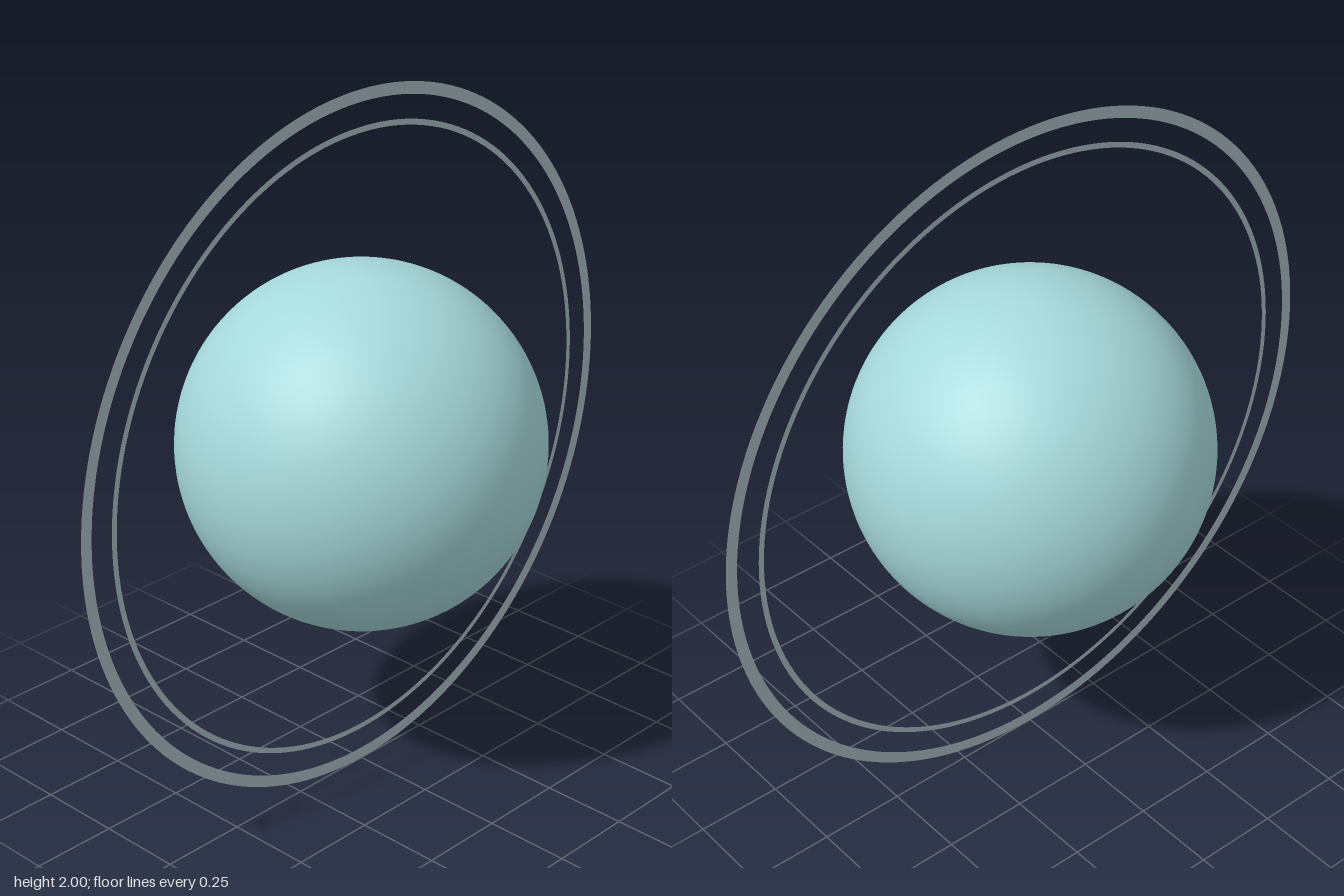
import * as THREE from 'three';

export function createModel() {
  const model = new THREE.Group();
  model.name = 'ringedPlanet';

  const add = (name, geometry, color, side = THREE.FrontSide) => {
    const material = new THREE.MeshStandardMaterial({ color, side });
    const mesh = new THREE.Mesh(geometry, material);
    mesh.name = name;
    mesh.position.y = 1;
    model.add(mesh);
  };

  // Smooth globe
  add('planet', new THREE.SphereGeometry(0.511, 96, 64), 0xa6d8da);

  // Two thin flat rings standing upright, facing front and back
  const rings = [
    ['innerRing', 0.884, 0.9],
    ['outerRing', 0.966, 1],
  ];
  for (const [name, inner, outer] of rings) {
    add(name, new THREE.RingGeometry(inner, outer, 160), 0xa9bbc2, THREE.DoubleSide);
  }

  return model;
}
